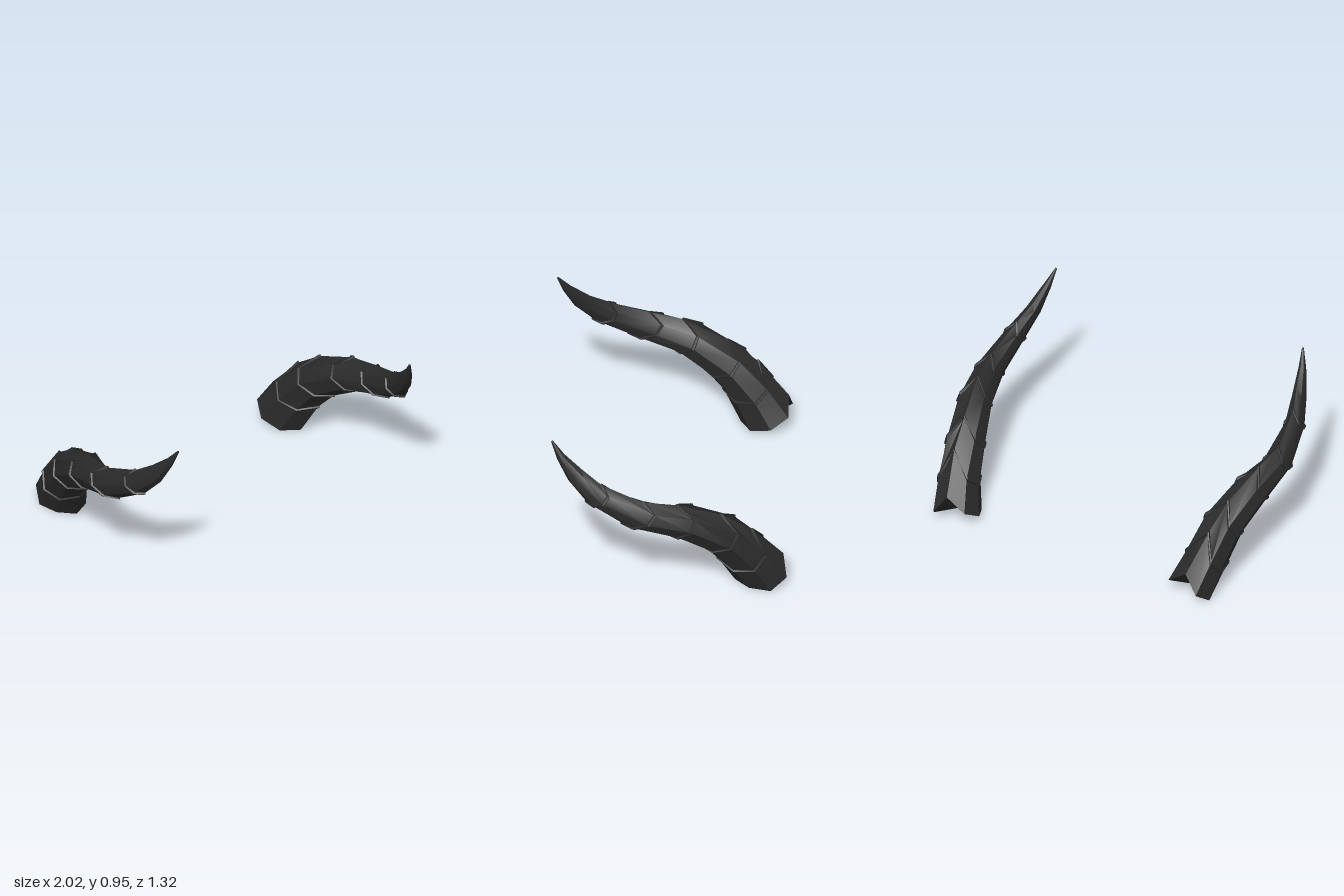
import * as THREE from 'three';
import { toCreasedNormals } from 'three/addons/utils/BufferGeometryUtils.js';

const SIDES = 8;
// how far each corner sweeps back toward the base (underside, flank, crest)
const SWEEP = [0, 0.5, 0.9, 0.85, 0, 0.85, 0.9, 0.5];

// stations from base to tip: [x, bottom z, bottom y, top z, top y, half width, sweep back]
const STATIONS = [
  [0.765, -0.38, 0.00, -0.65, 0.18, 0.135, 0.10],
  [0.815, -0.28, 0.18, -0.48, 0.38, 0.125, 0.17],
  [0.845, -0.17, 0.30, -0.31, 0.50, 0.120, 0.14],
  [0.900, 0.02, 0.41, -0.06, 0.60, 0.105, 0.13],
  [0.920, 0.25, 0.48, 0.13, 0.63, 0.082, 0.11],
  [0.885, 0.45, 0.60, 0.36, 0.72, 0.060, 0.08],
  [0.845, 0.55, 0.72, 0.47, 0.79, 0.040, 0.04],
  [0.815, 0.612, 0.84, 0.573, 0.877, 0.022, 0.01],
  [0.790, 0.647, 0.943, 0.637, 0.95, 0.005, 0],
];

// centre, crest direction, tangent and flank direction of every station
function makeFrames() {
  const centres = STATIONS.map(([x, bz, by, tz, ty]) =>
    new THREE.Vector3(x, (by + ty) / 2, (bz + tz) / 2));
  return STATIONS.map(([, bz, by, tz, ty, width, sweep], i) => {
    const next = centres[Math.min(i + 1, centres.length - 1)];
    const prev = centres[Math.max(i - 1, 0)];
    const tangent = next.clone().sub(prev).normalize();
    const crest = new THREE.Vector3(0, ty - by, tz - bz);
    const height = crest.length() / 2;
    crest.normalize();
    const flank = crest.clone().cross(tangent).normalize();
    return { centre: centres[i], tangent, crest, flank, height, width, sweep };
  });
}

// one swept-back octagonal cross-section
function crossSection(f, grow = 0, shift = 0) {
  return SWEEP.map((s, j) => {
    const a = (j / SIDES) * Math.PI * 2;
    const p = f.centre.clone()
      .addScaledVector(f.crest, -Math.cos(a) * (f.height + grow))
      .addScaledVector(f.flank, Math.sin(a) * (f.width + grow))
      .addScaledVector(f.tangent, shift - s * f.sweep);
    p.y = Math.max(p.y, 0);
    return p;
  });
}

// skin a list of cross-sections; side = -1 mirrors the result across x
function loft(sections, side, capped) {
  const pos = [], index = [];
  const add = (p) => pos.push(p.x * side, p.y, p.z);
  const tri = (a, b, c) => (side > 0 ? index.push(a, b, c) : index.push(a, c, b));
  sections.forEach((s) => s.forEach(add));
  for (let i = 0; i < sections.length - 1; i++) {
    for (let j = 0; j < SIDES; j++) {
      const k = (j + 1) % SIDES;
      const a = i * SIDES + j, b = i * SIDES + k;
      tri(a, b, b + SIDES);
      tri(a, b + SIDES, a + SIDES);
    }
  }
  if (capped) {
    const n = sections.length * SIDES, last = n - SIDES;
    [sections[0], sections[sections.length - 1]].forEach((s) =>
      add(s.reduce((sum, p) => sum.add(p), new THREE.Vector3()).divideScalar(SIDES)));
    for (let j = 0; j < SIDES; j++) {
      const k = (j + 1) % SIDES;
      tri(n, k, j);
      tri(n + 1, last + j, last + k);
    }
  }
  const g = new THREE.BufferGeometry();
  g.setAttribute('position', new THREE.Float32BufferAttribute(pos, 3));
  g.setIndex(index);
  return toCreasedNormals(g, 0.6);
}

export function createModel() {
  const model = new THREE.Group();
  model.name = 'hornPair';
  const hornBlack = new THREE.MeshStandardMaterial({ color: 0x2a2a2a });
  hornBlack.name = 'hornBlack';
  const frames = makeFrames();

  for (const side of [1, -1]) {
    const horn = new THREE.Group();
    horn.name = side > 0 ? 'leftHorn' : 'rightHorn';

    // tapering curved body
    const sections = frames.map((f, i) => crossSection(f, i > 0 && i < 6 ? -0.005 : 0));
    const body = new THREE.Mesh(loft(sections, side, true), hornBlack);
    body.name = 'hornBody';
    horn.add(body);

    // thin raised growth ridges
    for (let i = 1; i <= 5; i++) {
      const f = frames[i];
      const bead = [[-0.012, -0.012], [0.004, -0.006], [0.004, 0.006], [-0.012, 0.012]]
        .map(([grow, shift]) => crossSection(f, grow, shift));
      const ridge = new THREE.Mesh(loft(bead, side, false), hornBlack);
      ridge.name = 'growthRidge' + i;
      horn.add(ridge);
    }
    model.add(horn);
  }
  return model;
}
